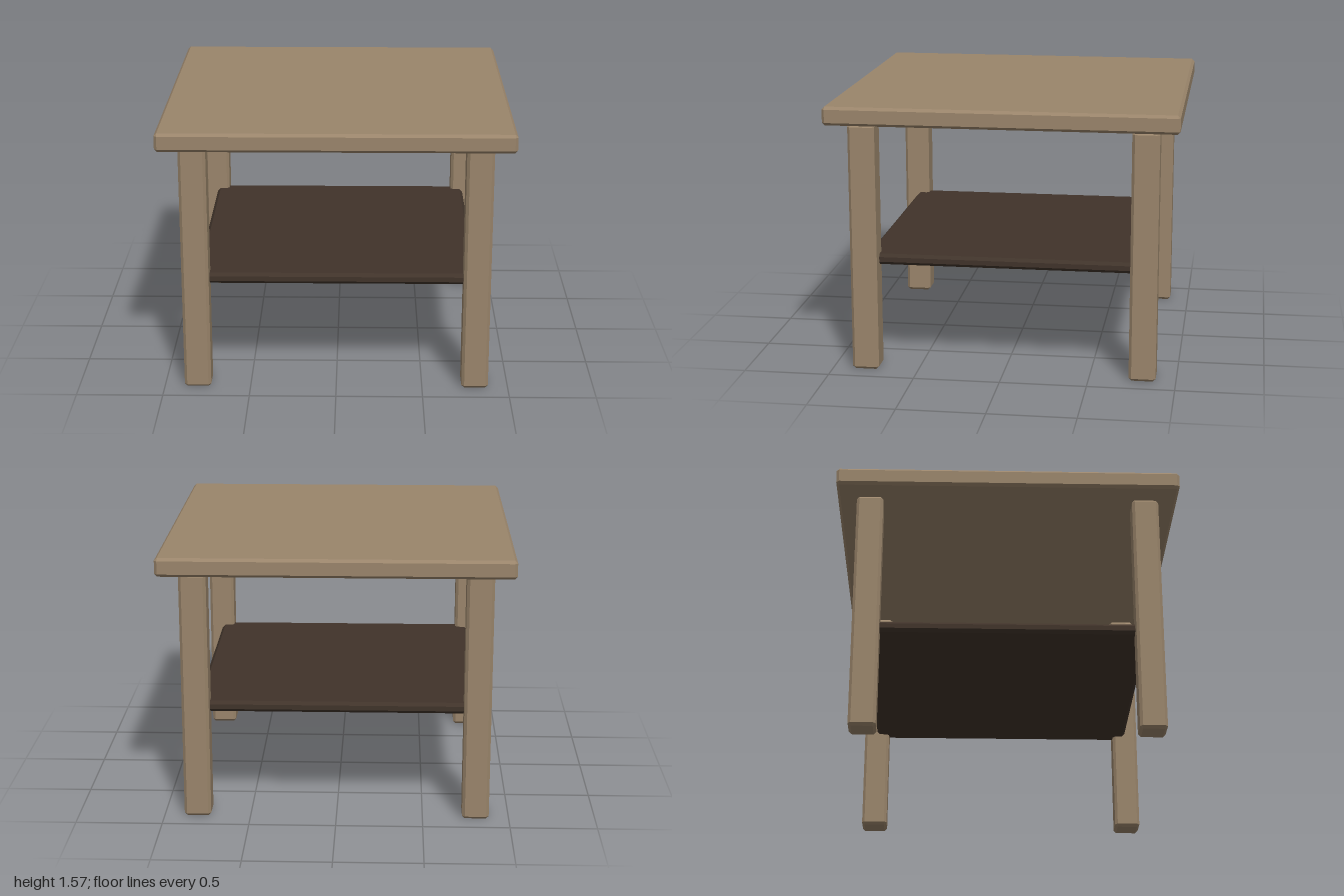
import * as THREE from 'three';
import { ConvexGeometry } from 'three/addons/geometries/ConvexGeometry.js';

// Box with every edge cut by a flat 45 degree chamfer
function chamferBox(w, h, d, c) {
  const points = [];
  for (const sx of [-1, 1]) for (const sy of [-1, 1]) for (const sz of [-1, 1]) {
    const x = w / 2, y = h / 2, z = d / 2;
    points.push(
      new THREE.Vector3(sx * x, sy * (y - c), sz * (z - c)),
      new THREE.Vector3(sx * (x - c), sy * y, sz * (z - c)),
      new THREE.Vector3(sx * (x - c), sy * (y - c), sz * z),
    );
  }
  return new ConvexGeometry(points);
}

export function createModel() {
  const table = new THREE.Group();
  table.name = 'sideTable';

  const wood = new THREE.MeshStandardMaterial({ color: 0x9a856b });
  wood.name = 'light wood';
  const darkWood = new THREE.MeshStandardMaterial({ color: 0x40332a });
  darkWood.name = 'dark wood';

  const add = (name, geometry, material, x, y, z) => {
    const mesh = new THREE.Mesh(geometry, material);
    mesh.name = name;
    mesh.position.set(x, y, z);
    table.add(mesh);
  };

  // Square top, floating just above the legs
  add('tableTop', chamferBox(2, 0.107, 2, 0.016), wood, 0, 1.521, 0);

  // Lower shelf, its corners set into the legs
  add('shelf', chamferBox(1.61, 0.064, 1.61, 0.018), darkWood, 0, 0.648, 0);

  // Four legs
  const legHeight = 1.455;
  const leg = chamferBox(0.155, legHeight, 0.155, 0.016);
  for (const [side, sx] of [['Left', 1], ['Right', -1]]) {
    for (const [end, sz] of [['front', 1], ['back', -1]]) {
      add(`${end}${side}Leg`, leg, wood, sx * 0.807, legHeight / 2, sz * 0.807);
    }
  }

  return table;
}
